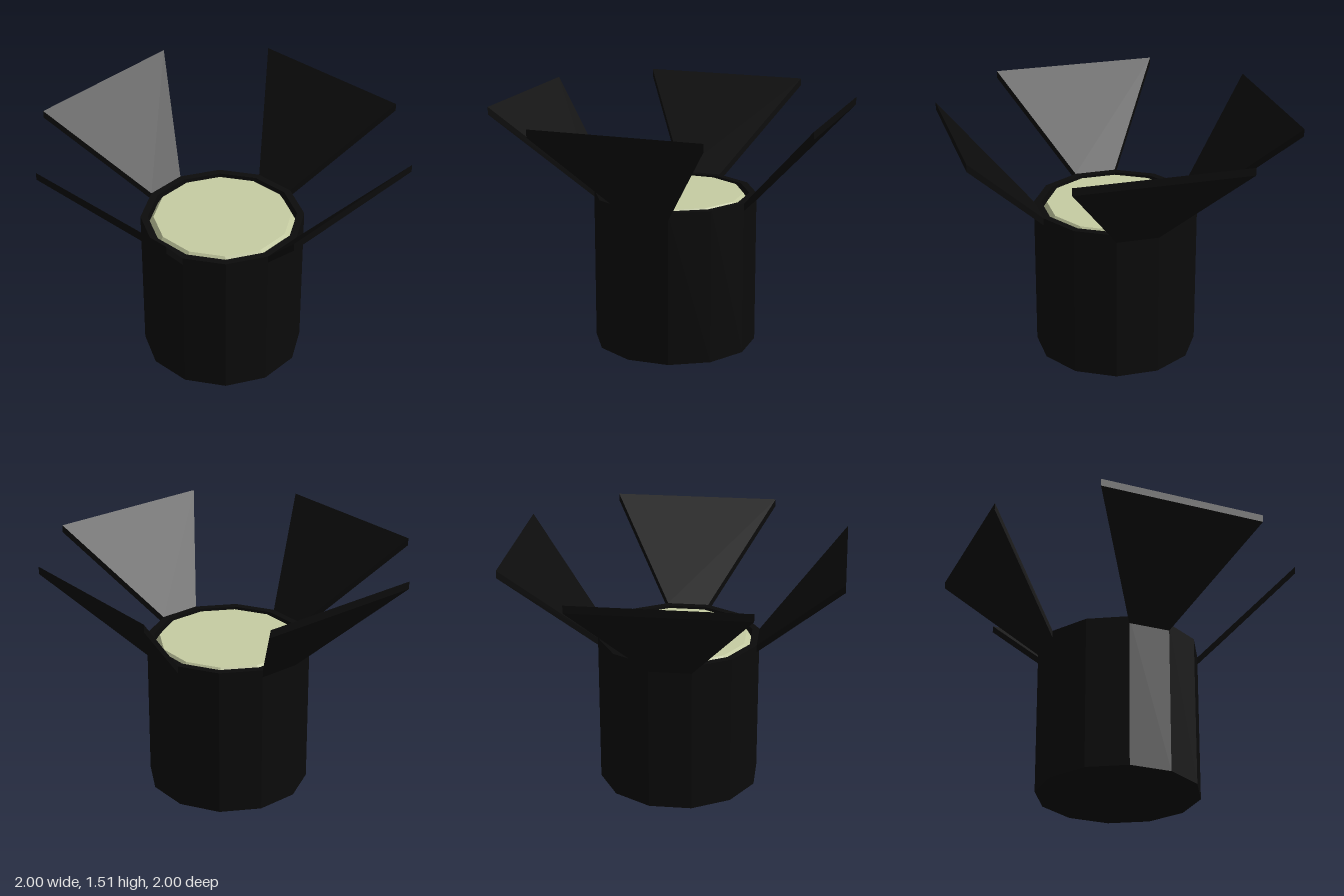
import * as THREE from 'three';

const SIDES = 12;
const toRadius = 1 / Math.cos(Math.PI / SIDES); // flat-to-centre distance -> corner radius

// Twelve-sided turned part with flats facing the axes; profile is [flat distance, y]
function turned(name, profile, material) {
  const points = profile.map(([r, y]) => new THREE.Vector2(r * toRadius, y));
  const mesh = new THREE.Mesh(new THREE.LatheGeometry(points, SIDES, Math.PI / SIDES), material);
  mesh.name = name;
  return mesh;
}

// Flaring flap: a thin box widened and sheared upwards towards its outer edge
function flapGeometry() {
  const inner = 0.485, outer = 1, thickness = 0.046, rise = 0.56;
  const geometry = new THREE.BoxGeometry(2, thickness, outer - inner);
  const p = geometry.attributes.position;
  for (let i = 0; i < p.count; i++) {
    const atTip = p.getZ(i) > 0;
    p.setXYZ(
      i,
      p.getX(i) * (atTip ? 0.52 : 0.13),
      p.getY(i) + 0.927 + (atTip ? rise : 0),
      atTip ? outer : inner
    );
  }
  geometry.computeVertexNormals();
  return geometry;
}

export function createModel() {
  const model = new THREE.Group();
  model.name = 'spotlight';
  const black = new THREE.MeshStandardMaterial({ color: 0x0b0b0b, flatShading: true });
  const glass = new THREE.MeshStandardMaterial({ color: 0xc6cca2, flatShading: true });

  // Drum housing with a shallow recess inside the rim
  model.add(turned('housing', [
    [0, 0], [0.485, 0], [0.485, 0.95], [0.442, 0.95], [0.442, 0.89], [0, 0.89],
  ], black));

  // Bevelled lens sitting in the recess, level with the rim
  model.add(turned('lens', [[0.442, 0.89], [0.408, 0.948], [0, 0.948]], glass));

  // Four flaps around the rim
  const flap = flapGeometry();
  ['frontFlap', 'leftFlap', 'backFlap', 'rightFlap'].forEach((name, i) => {
    const mesh = new THREE.Mesh(flap, black);
    mesh.name = name;
    mesh.rotation.y = i * Math.PI / 2;
    model.add(mesh);
  });

  return model;
}
